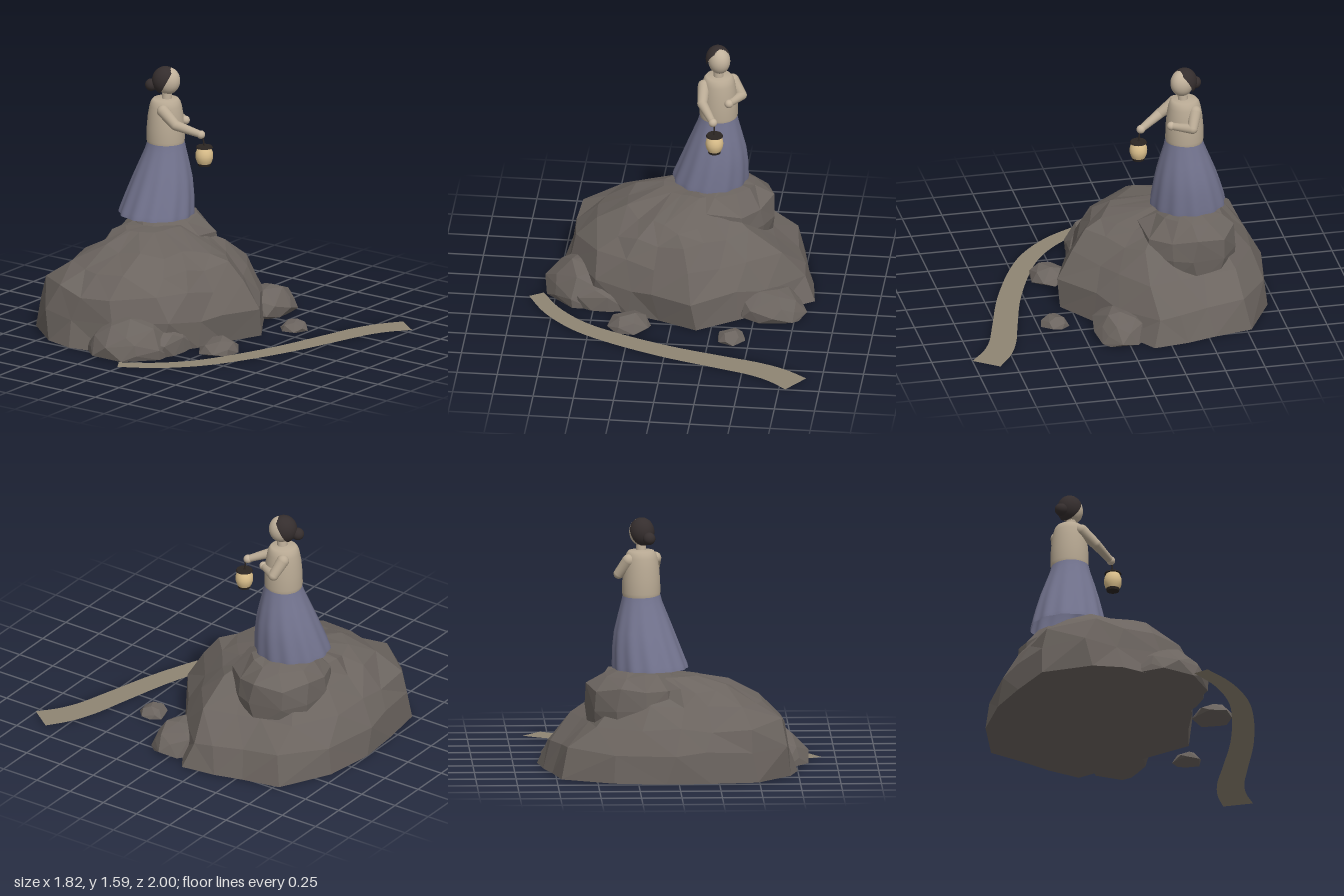
import * as THREE from 'three';
import { ConvexGeometry } from 'three/addons/geometries/ConvexGeometry.js';

const mat = (name, color) => new THREE.MeshStandardMaterial({ name, color });
const V = (x, y, z) => new THREE.Vector3(x, y, z);

// Small seeded random generator, returning -1..1
function seeded(seed) {
  let s = seed * 7919 + 17;
  return () => {
    s = (s * 16807) % 2147483647;
    return (s / 2147483647) * 2 - 1;
  };
}

// Smooth open loft through fluted rings [y, cx, cz, radius, flute], bottom to top
function loft(rings, sides = 96, flutes = 12) {
  const pos = [], idx = [];
  for (const [y, cx, cz, r, f] of rings)
    for (let j = 0; j < sides; j++) {
      const a = (j / sides) * Math.PI * 2, q = r * (1 + f * Math.cos(flutes * a));
      pos.push(cx + q * Math.cos(a), y, cz + q * Math.sin(a));
    }
  for (let i = 0; i < rings.length - 1; i++)
    for (let j = 0; j < sides; j++) {
      const k = (j + 1) % sides, a = i * sides, b = a + sides;
      idx.push(a + j, b + j, a + k, a + k, b + j, b + k);
    }
  const g = new THREE.BufferGeometry();
  g.setAttribute('position', new THREE.Float32BufferAttribute(pos, 3));
  g.setIndex(idx);
  g.computeVertexNormals();
  return g;
}

// Faceted shell through rows of points (bottom to top), closed at both ends
function facetedShell(rows) {
  const pos = [], n = rows[0].length;
  const tri = (...pts) => pts.forEach((p) => pos.push(p.x, p.y, p.z));
  const middle = (row) => row.reduce((s, p) => s.add(p), V(0, 0, 0)).divideScalar(n);
  const first = rows[0], last = rows[rows.length - 1];
  const low = middle(first), high = middle(last);
  for (let j = 0; j < n; j++) {
    const k = (j + 1) % n;
    tri(low, first[k], first[j]);
    tri(high, last[j], last[k]);
    for (let i = 0; i < rows.length - 1; i++) {
      const a = rows[i][j], b = rows[i][k], c = rows[i + 1][j], d = rows[i + 1][k];
      // split each quad along its shorter diagonal
      if (a.distanceTo(d) < b.distanceTo(c)) { tri(a, b, d); tri(a, d, c); }
      else { tri(a, b, c); tri(b, d, c); }
    }
  }
  const g = new THREE.BufferGeometry();
  g.setAttribute('position', new THREE.Float32BufferAttribute(pos, 3));
  g.computeVertexNormals();
  return g;
}

// Small faceted boulder, cut flat at the ground
function boulder(x, y, z, rx, ry, rz, seed, count = 46, jitter = 0.1) {
  const rnd = seeded(seed), pts = [];
  for (let i = 0; i < count; i++) {
    const h = 1 - (2 * (i + 0.5)) / count, a = i * 2.39996 + rnd() * 0.25;
    const s = Math.sqrt(1 - h * h), k = 1 + rnd() * jitter;
    pts.push(V(x + rx * s * Math.cos(a) * k, Math.max(0, y + ry * h * k), z + rz * s * Math.sin(a) * k));
  }
  return new ConvexGeometry(pts);
}

export function createModel() {
  const root = new THREE.Group();
  const rock = mat('rock', 0x6b645f), earth = mat('path', 0x8f8573);
  const cloth = mat('skirt cloth', 0x73748f), blouse = mat('blouse', 0xb9aa94);
  const skin = mat('skin', 0xc2b29c), hairMat = mat('hair', 0x352e2e);
  const paper = mat('lantern paper', 0xdcc08c), metal = mat('dark metal', 0x2b2522);
  earth.side = cloth.side = THREE.DoubleSide;

  const add = (name, geo, m, parent = root) => {
    const mesh = new THREE.Mesh(geo, m);
    mesh.name = name;
    parent.add(mesh);
    return mesh;
  };
  const ball = (name, p, r, m, parent = root) => {
    const b = add(name, new THREE.SphereGeometry(1, 24, 16), m, parent);
    b.position.copy(p);
    b.scale.setScalar(r);
    return b;
  };
  const limb = (name, a, b, r0, r1, m, parent = root) => {
    const dir = b.clone().sub(a);
    const c = add(name, new THREE.CylinderGeometry(r1, r0, dir.length(), 20), m, parent);
    c.position.copy(a).addScaledVector(dir, 0.5);
    c.quaternion.setFromUnitVectors(V(0, 1, 0), dir.normalize());
  };

  // Main outcrop: one ground outline shrunk and shifted up through levels
  const outline = [[0.08, -1], [-0.2, -0.98], [-0.49, -0.94], [-0.7, -0.69], [-0.75, -0.5], [-0.71, -0.24],
    [-0.52, 0.03], [-0.28, 0.15], [-0.08, 0.21], [0.16, 0.31], [0.4, 0.15], [0.64, 0], [0.85, -0.14],
    [0.82, -0.36], [0.77, -0.54], [0.72, -0.78], [0.4, -0.95]];
  // y, centre x, centre z, x scale, z scale
  const levels = [[0, 0.05, -0.345, 1, 1], [0.17, 0.035, -0.335, 0.95, 0.98], [0.33, -0.02, -0.34, 0.81, 0.89],
    [0.45, -0.035, -0.325, 0.61, 0.7], [0.53, -0.01, -0.335, 0.41, 0.54], [0.605, 0.09, -0.44, 0.27, 0.24]];
  const rnd = seeded(12);
  add('mainRock', facetedShell(levels.map(([y, cx, cz, sx, sz], i) => outline.map(([x, z]) => {
    const k = i ? 1 + rnd() * 0.04 : 1, turn = i ? rnd() * 0.07 : 0;
    const dx = (x - 0.05) * sx * k, dz = (z + 0.345) * sz * k;
    return V(cx + dx - dz * turn, i ? y + rnd() * (i < 5 ? 0.025 : 0.006) : 0, cz + dz + dx * turn);
  }))), rock);

  // Summit rock under the figure
  const tiers = [[0.28, 0.29], [0.4, 0.315], [0.54, 0.295], [0.62, 0.2], [0.65, 0.11]];
  add('summitRock', facetedShell(tiers.map(([y, r], i) => Array.from({ length: 11 }, (_, j) => {
    const a = -((j + rnd() * 0.2) / 11) * Math.PI * 2, k = r * (1 + rnd() * 0.06);
    return V(0.25 + k * Math.cos(a), i < 4 ? y + rnd() * 0.02 : y, -0.48 + k * Math.sin(a));
  }))), rock);

  // Rocks around the foot
  add('leftFootRock', boulder(-0.57, 0.03, -0.16, 0.27, 0.2, 0.28, 3), rock);
  add('leftLowRock', boulder(-0.44, 0.02, 0, 0.27, 0.14, 0.14, 8), rock);
  add('rightFootRock', boulder(0.595, 0.02, 0.03, 0.215, 0.155, 0.17, 11), rock);
  add('looseRock', boulder(-0.26, 0, 0.295, 0.14, 0.093, 0.122, 4, 22, 0.04), rock);
  add('smallLooseRock', boulder(0.388, 0, 0.395, 0.093, 0.068, 0.092, 6, 20, 0.04), rock);

  // Winding path: flat ribbon that widens toward the front
  const curve = new THREE.CatmullRomCurve3([[-0.87, -0.035], [-0.75, 0.16], [-0.57, 0.335], [-0.36, 0.455],
    [0, 0.6], [0.35, 0.7], [0.58, 0.765], [0.72, 0.83], [0.848, 0.925]].map(([x, z]) => V(x, 0.004, z)));
  const path = new THREE.PlaneGeometry(1, 1, 48, 1), pp = path.attributes.position;
  for (let i = 0; i < pp.count; i++) {
    const t = Math.min(1, Math.max(0, pp.getX(i) + 0.5)), side = -pp.getY(i) * (0.1 + 0.09 * t);
    const p = curve.getPoint(t), d = curve.getTangent(t);
    pp.setXYZ(i, p.x - d.z * side, p.y, p.z + d.x * side);
  }
  path.computeVertexNormals();
  add('path', path, earth);

  // Skirt, fluted toward the open hem and trailing to one side
  const figure = new THREE.Group();
  figure.name = 'figure';
  root.add(figure);
  add('skirt', loft([[0.653, 0.163, -0.495, 0.231, 0.024], [0.68, 0.167, -0.493, 0.228, 0.024],
    [0.78, 0.186, -0.484, 0.208, 0.02], [0.88, 0.2, -0.475, 0.184, 0.015], [0.98, 0.208, -0.467, 0.153, 0.009],
    [1.06, 0.214, -0.462, 0.127, 0.004], [1.105, 0.215, -0.46, 0.116, 0]]), cloth, figure);

  // Bodice
  const bodice = add('bodice', new THREE.LatheGeometry([[0.114, 1.095], [0.119, 1.12], [0.117, 1.2], [0.11, 1.28],
    [0.1, 1.335], [0.092, 1.362], [0.078, 1.38], [0.001, 1.386]].map(([r, y]) => new THREE.Vector2(r, y)), 40), blouse, figure);
  bodice.position.set(0.217, 0, -0.464);
  limb('neck', V(0.217, 1.37, -0.455), V(0.217, 1.44, -0.452), 0.032, 0.03, skin, figure);

  // Head, turned a little to its left
  const head = new THREE.Group();
  head.name = 'head';
  head.position.set(0.219, 1.495, -0.452);
  head.rotation.y = 0.5;
  figure.add(head);
  ball('face', V(0, 0, 0.004), 1, skin, head).scale.set(0.068, 0.086, 0.076);
  const cap = new THREE.SphereGeometry(1, 32, 16, 0, Math.PI * 2, 0, Math.PI * 0.54);
  cap.rotateX(-Math.PI / 3);
  const hair = add('hair', cap, hairMat, head);
  hair.scale.set(0.076, 0.09, 0.084);
  hair.position.set(0, 0.001, -0.012);
  ball('hairBun', V(0, -0.03, -0.1), 0.039, hairMat, head);

  // Arms: shoulder, elbow, hand
  const arms = {
    right: [V(0.13, 1.325, -0.42), V(0.13, 1.25, -0.325), V(0.21, 1.195, -0.19)],
    left: [V(0.298, 1.325, -0.515), V(0.357, 1.238, -0.485), V(0.29, 1.238, -0.365)],
  };
  for (const [side, [s, e, h]] of Object.entries(arms)) {
    ball(side + 'Shoulder', s, 0.039, blouse, figure);
    limb(side + 'UpperArm', s, e, 0.039, 0.032, blouse, figure);
    ball(side + 'Elbow', e, 0.032, blouse, figure);
    limb(side + 'Forearm', e, h, 0.032, 0.022, blouse, figure);
    ball(side + 'Hand', h, 0.027, skin, figure);
  }

  // Hanging lantern with a barrel-shaped shade
  const lantern = new THREE.Group();
  lantern.name = 'lantern';
  lantern.position.set(0.222, 0, -0.172);
  root.add(lantern);
  add('lanternBody', new THREE.LatheGeometry([[0.04, 1.008], [0.048, 1.025], [0.054, 1.045], [0.055, 1.062], [0.053, 1.082],
    [0.046, 1.1], [0.04, 1.113]].map(([r, y]) => new THREE.Vector2(r, y)), 28), paper, lantern);
  add('lanternBase', new THREE.CylinderGeometry(0.042, 0.038, 0.016, 28), metal, lantern).position.y = 1.004;
  add('lanternLid', new THREE.CylinderGeometry(0.048, 0.053, 0.01, 28), metal, lantern).position.y = 1.117;
  limb('lanternCord', V(0, 1.115, 0), V(-0.004, 1.195, -0.01), 0.005, 0.005, metal, lantern);
  return root;
}
